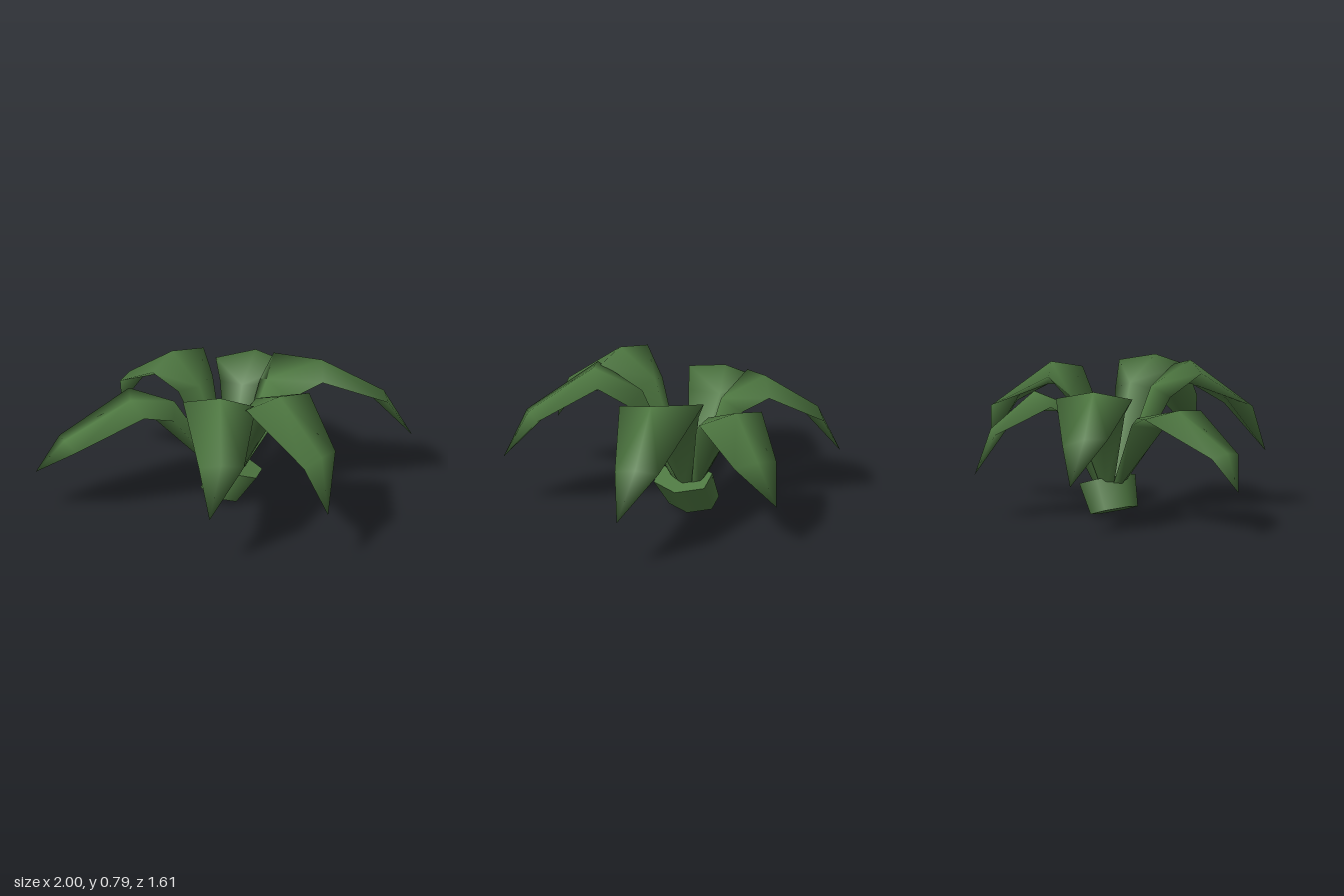
import * as THREE from 'three';

const leafGreen = new THREE.MeshStandardMaterial({ color: 0x4f7942, side: THREE.DoubleSide });
leafGreen.name = 'leafGreen';

const vec = (p) => new THREE.Vector3(...p);
const lerp = (p, q, t) => p.clone().lerp(q, t);

// Point the leaves grow from
const HEART = vec([0.03, 0.16, -0.12]);

// A leaf is a closed, lens-shaped tube that arches outward to a point.
// Every section runs: first edge, upper midrib, second edge, lower midrib.
function makeLeaf({ name, shoulder, crest, bend, tip }) {
  const end = vec(tip);
  const out = end.clone().sub(HEART).setY(0).normalize();
  const side = vec([-out.z, 0, out.x]);
  const shift = (p, d, up) => p.clone().addScaledVector(out, d).add(vec([0, up, 0]));
  const basePoint = (d, s) => shift(HEART, d, 0).addScaledVector(side, s);
  const base = [basePoint(0.06, -0.035), basePoint(0.03, 0), basePoint(0.06, 0.035), basePoint(0.08, 0)];

  const [crestA, crestTop, crestB] = crest.map(vec);
  const [bendA, bendUnder, bendB] = bend.map(vec);
  const shoulderEdge = (from, to) => shift(lerp(from, to, 0.6), 0, 0.11);
  const shoulderUnder = shift(crestTop, -0.12, -0.11);

  const sections = [
    base,
    [shoulderEdge(base[0], crestA), vec(shoulder), shoulderEdge(base[2], crestB), shoulderUnder],
    [crestA, crestTop, crestB, shift(lerp(shoulderUnder, bendUnder, 0.4), 0, 0.02)],
    [bendA, shift(lerp(bendA, bendB, 0.5), 0.02, 0.02), bendB, bendUnder],
  ];

  const index = [];
  for (let j = 0; j < 4; j++) {
    const next = (j + 1) % 4;
    for (let row = 0; row < 3; row++) {
      const a = row * 4 + j, b = row * 4 + next, c = a + 4, d = b + 4;
      // Diagonals run from midrib to edge, which keeps both faces bulging
      if (j % 2 === 0) index.push(a, b, c, b, d, c);
      else index.push(a, b, d, a, d, c);
    }
    index.push(12 + j, 12 + next, 16);
  }

  const geometry = new THREE.BufferGeometry().setFromPoints([...sections.flat(), end]);
  geometry.setIndex(index);
  geometry.computeVertexNormals();
  const leaf = new THREE.Mesh(geometry, leafGreen);
  leaf.name = name;
  return leaf;
}

// shoulder: upper midrib where the stalk turns outward
// crest: edge, upper midrib, edge;  bend: edge, lower midrib, edge
const LEAVES = [
  {
    name: 'leftLeaf',
    shoulder: [0.25, 0.62, -0.20],
    crest: [[0.31, 0.72, -0.30], [0.52, 0.76, -0.08], [0.48, 0.72, 0.11]],
    bend: [[0.82, 0.51, -0.23], [0.73, 0.575, -0.10], [0.86, 0.51, 0.0]],
    tip: [1.0, 0.28, -0.06],
  },
  {
    name: 'frontLeftLeaf',
    shoulder: [0.12, 0.67, 0.11],
    crest: [[0.37, 0.75, 0.27], [0.19, 0.79, 0.36], [0.0, 0.75, 0.40]],
    bend: [[0.44, 0.55, 0.58], [0.29, 0.59, 0.53], [0.24, 0.53, 0.71]],
    tip: [0.35, 0.29, 0.80],
  },
  {
    name: 'frontRightLeaf',
    shoulder: [-0.05, 0.67, 0.10],
    crest: [[0.06, 0.75, 0.37], [-0.12, 0.795, 0.32], [-0.30, 0.75, 0.23]],
    bend: [[-0.06, 0.53, 0.62], [-0.18, 0.59, 0.51], [-0.30, 0.54, 0.60]],
    tip: [-0.27, 0.29, 0.72],
  },
  {
    name: 'rightLeaf',
    shoulder: [-0.25, 0.55, -0.19],
    crest: [[-0.47, 0.59, 0.06], [-0.50, 0.61, -0.13], [-0.46, 0.58, -0.34]],
    bend: [[-0.82, 0.40, 0.0], [-0.73, 0.45, -0.12], [-0.86, 0.40, -0.23]],
    tip: [-1.0, 0.23, -0.17],
  },
  {
    name: 'backRightLeaf',
    shoulder: [-0.10, 0.59, -0.25],
    crest: [[-0.34, 0.67, -0.31], [-0.20, 0.71, -0.46], [-0.01, 0.665, -0.55]],
    bend: [[-0.45, 0.50, -0.59], [-0.31, 0.54, -0.58], [-0.28, 0.46, -0.76]],
    tip: [-0.39, 0.26, -0.81],
  },
  {
    name: 'backLeftLeaf',
    shoulder: [0.13, 0.57, -0.26],
    crest: [[0.05, 0.61, -0.53], [0.25, 0.67, -0.46], [0.41, 0.64, -0.31]],
    bend: [[0.30, 0.45, -0.70], [0.33, 0.51, -0.54], [0.48, 0.45, -0.53]],
    tip: [0.41, 0.235, -0.74],
  },
];

export function createModel() {
  const plant = new THREE.Group();
  plant.name = 'plant';

  // Root bulb: a six-sided cup leaning to one side
  const cup = new THREE.CylinderGeometry(0.13, 0.11, 0.155, 6);
  cup.rotateY(Math.PI / 2);
  cup.applyMatrix4(new THREE.Matrix4().set(
    1, 0.55, 0, 0,
    -0.28, 1, 0, 0,
    0, 0.2, 1.25, 0,
    0, 0, 0, 1,
  ));
  const bulb = new THREE.Mesh(cup, leafGreen);
  bulb.name = 'bulb';
  bulb.position.set(0.03, 0.109, -0.115);
  plant.add(bulb);

  // Ring of drooping leaves
  for (const spec of LEAVES) plant.add(makeLeaf(spec));
  return plant;
}
